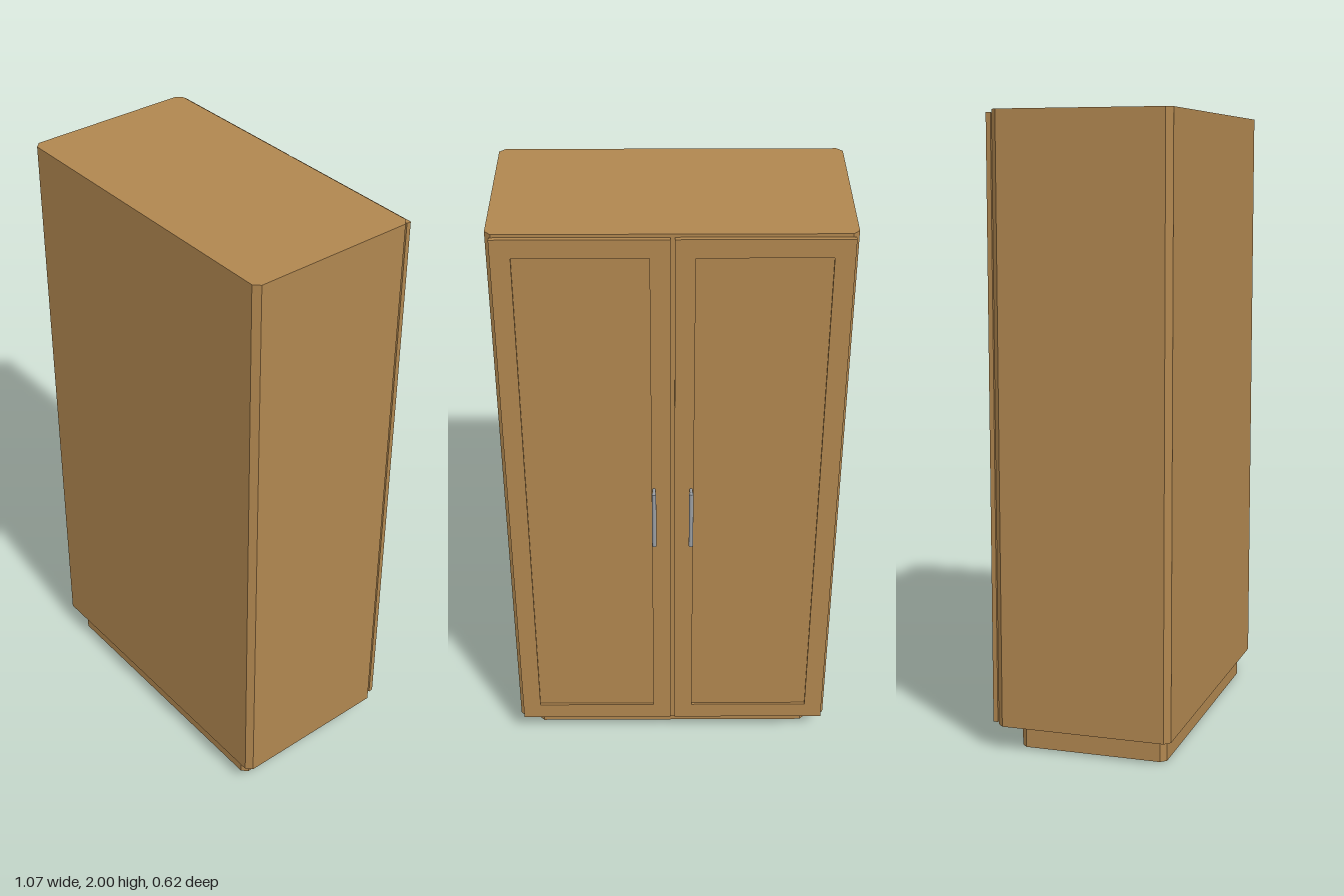
import * as THREE from 'three';

const wood = new THREE.MeshStandardMaterial({ color: 0xb0864f });
wood.name = 'oak wood';
const metal = new THREE.MeshStandardMaterial({ color: 0x9a9ea3 });
metal.name = 'brushed metal';

function add(parent, name, geometry, material, x = 0, y = 0, z = 0) {
  const mesh = new THREE.Mesh(geometry, material);
  mesh.name = name;
  mesh.position.set(x, y, z);
  parent.add(mesh);
  return mesh;
}

// Upright block with its four vertical corners chamfered
function chamferedBlock(halfWidth, zMin, zMax, yMin, yMax, c) {
  const w = halfWidth;
  const shape = new THREE.Shape([
    [-w + c, -zMax], [w - c, -zMax], [w, -zMax + c], [w, -zMin - c],
    [w - c, -zMin], [-w + c, -zMin], [-w, -zMin - c], [-w, -zMax + c],
  ].map(([x, y]) => new THREE.Vector2(x, y)));
  const geometry = new THREE.ExtrudeGeometry(shape, { depth: yMax - yMin, bevelEnabled: false });
  return geometry.rotateX(-Math.PI / 2).translate(0, yMin, 0);
}

function rectangle(Type, x0, y0, x1, y1) {
  return new Type([[x0, y0], [x1, y0], [x1, y1], [x0, y1]].map(([x, y]) => new THREE.Vector2(x, y)));
}

// Framed door with a recessed panel
function createDoor(width, height, depth) {
  const door = new THREE.Group();
  const rail = 0.06;
  const w = width / 2, h = height / 2;
  const frame = rectangle(THREE.Shape, -w, -h, w, h);
  frame.holes.push(rectangle(THREE.Path, -w + rail, -h + rail, w - rail, h - rail));
  add(door, 'doorFrame', new THREE.ExtrudeGeometry(frame, { depth, bevelEnabled: false }), wood);
  add(door, 'doorPanel', new THREE.BoxGeometry(width - 2 * rail, height - 2 * rail, 0.007),
    wood, 0, 0, depth - 0.0035);
  return door;
}

// Round pull bar on two short posts
function createHandle() {
  const handle = new THREE.Group();
  add(handle, 'handleBar', new THREE.CylinderGeometry(0.007, 0.007, 0.21, 12), metal, 0, 0, -0.029);
  for (const y of [-0.1, 0.1]) {
    const post = add(handle, 'handlePost', new THREE.CylinderGeometry(0.005, 0.005, 0.03, 10), metal, 0, y, -0.014);
    post.rotation.x = Math.PI / 2;
  }
  return handle;
}

export function createModel() {
  const cabinet = new THREE.Group();
  cabinet.name = 'cabinet';
  add(cabinet, 'carcass', chamferedBlock(0.537, -0.26, 0.308, 0.08, 2, 0.019), wood);
  add(cabinet, 'plinth', chamferedBlock(0.48, -0.2, 0.28, 0, 0.08, 0.018), wood);

  // Pair of doors and handles on the -z side
  for (const side of [-1, 1]) {
    const name = side > 0 ? 'left' : 'right';
    const door = createDoor(0.519, 1.9, 0.015);
    door.name = name + 'Door';
    door.position.set(side * 0.266 - 0.0015, 1.04, -0.275);
    cabinet.add(door);
    const handle = createHandle();
    handle.name = name + 'Handle';
    handle.position.set(side * 0.059 - 0.0015, 1, -0.275);
    cabinet.add(handle);
  }
  return cabinet;
}
